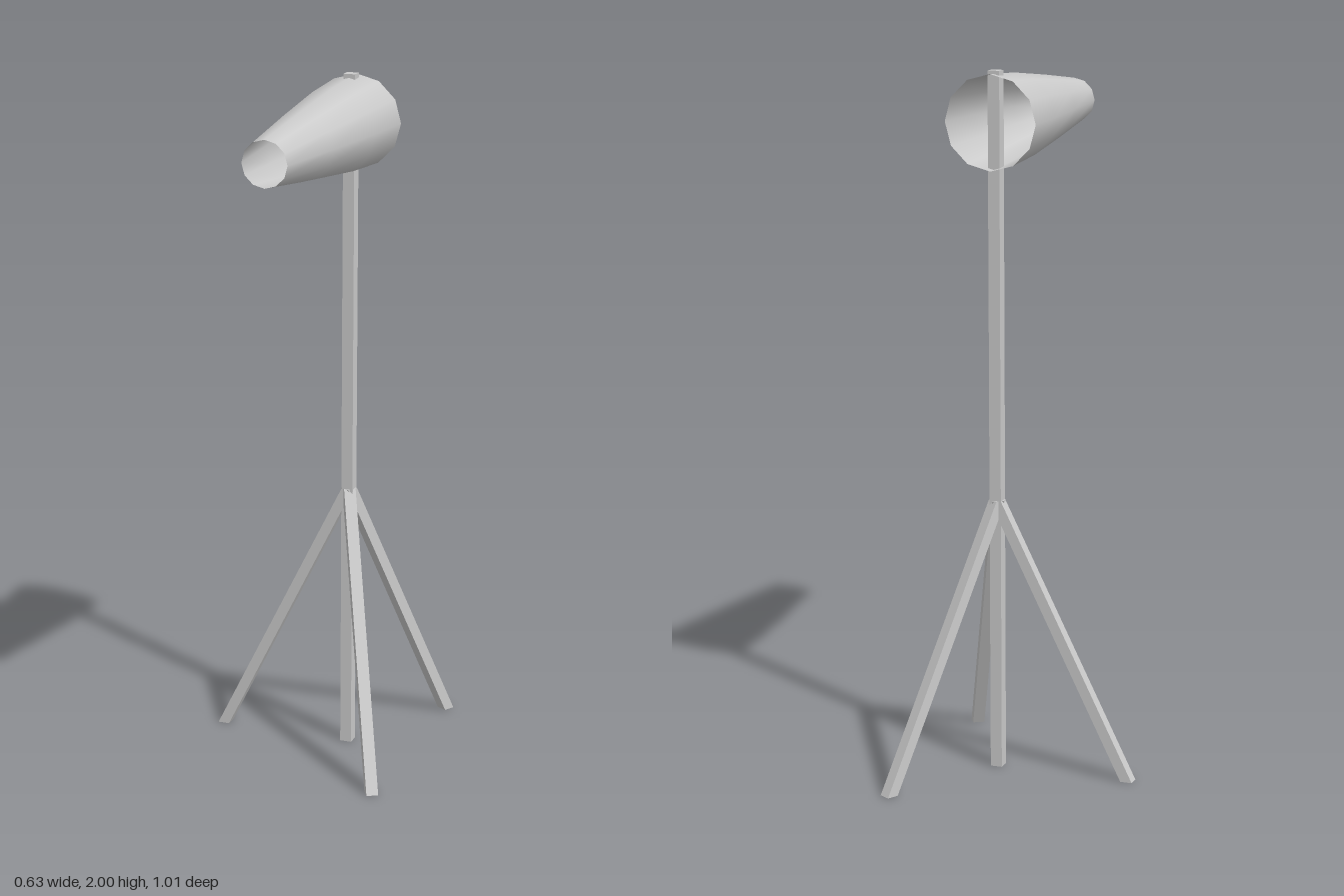
import * as THREE from 'three';

const POLE_X = 0.093, POLE_Z = -0.142, BAR = 0.034;

export function createModel() {
  const group = new THREE.Group();
  const frameMat = new THREE.MeshStandardMaterial({ color: 0xcccccc });
  const sockMat = new THREE.MeshStandardMaterial({ color: 0xcccccc, side: THREE.DoubleSide });

  const add = (name, geometry, material) => {
    const mesh = new THREE.Mesh(geometry, material);
    mesh.name = name;
    mesh.position.set(POLE_X, 0, POLE_Z);
    group.add(mesh);
    return mesh;
  };

  // Upright square pole
  add('pole', new THREE.BoxGeometry(BAR, 2, BAR).translate(0, 1, 0), frameMat);

  // Three splayed legs, sheared so that both ends stay level
  const legHeight = 0.79, spread = 0.394;
  for (let i = 0; i < 3; i++) {
    const leg = new THREE.BoxGeometry(BAR, legHeight, BAR).translate(0, legHeight / 2, 0);
    const shear = new THREE.Matrix4().set(
      1, -spread / legHeight, 0, spread,
      0, 1, 0, 0,
      0, 0, 1, 0,
      0, 0, 0, 1
    );
    leg.applyMatrix4(shear);
    leg.computeVertexNormals();
    add('leg' + (i + 1), leg, frameMat).rotation.y = Math.PI + (i * Math.PI * 2) / 3;
  }

  // Open tapered windsock, wide mouth at the pole, narrow end forward
  const profile = [[0.133, -0.186], [0.122, 0], [0.095, 0.25], [0.064, 0.508]]
    .map(([r, z]) => new THREE.Vector2(r, z));
  const sock = new THREE.LatheGeometry(profile, 12).rotateX(Math.PI / 2);
  add('windsock', sock, sockMat).position.set(POLE_X, 1.86, 0);

  return group;
}
